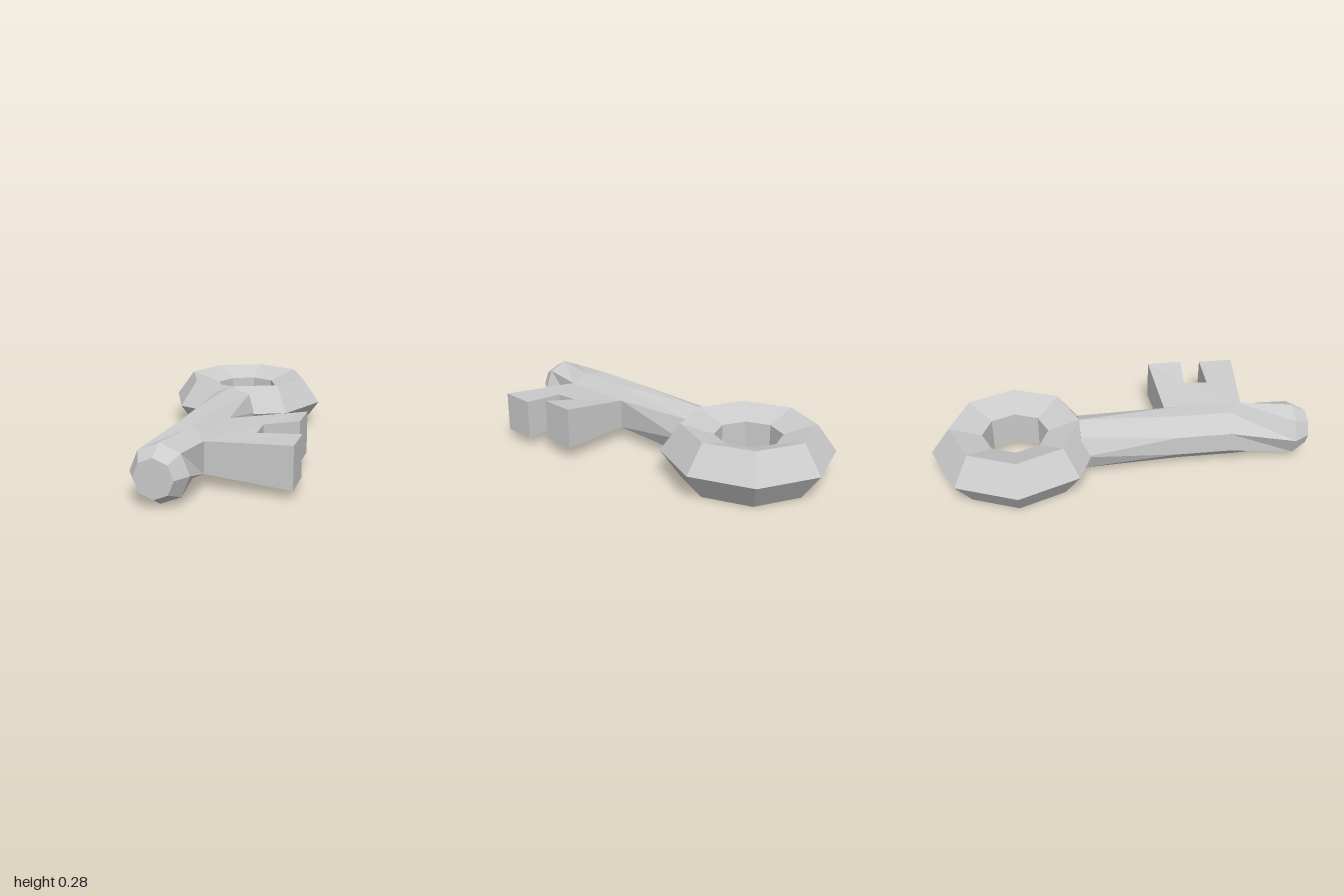
import * as THREE from 'three';

const CX = -0.057, CY = 0.142;

// Flat-shaded mesh from a list of polygon faces (each a loop of [x, y, z])
function facetMesh(name, faces, material) {
  const pos = [];
  for (const f of faces)
    for (let i = 1; i < f.length - 1; i++) pos.push(...f[0], ...f[i], ...f[i + 1]);
  const geo = new THREE.BufferGeometry();
  geo.setAttribute('position', new THREE.Float32BufferAttribute(pos, 3));
  geo.computeVertexNormals();
  const mesh = new THREE.Mesh(geo, material);
  mesh.name = name;
  return mesh;
}

// Regular octagon across the shaft
function octagon(radius, z) {
  return Array.from({ length: 8 }, (_, i) => {
    const a = (i * Math.PI) / 4;
    return [CX + radius * Math.cos(a), CY + radius * Math.sin(a), z];
  });
}

// Shaft: octagonal ends with a slightly twisted, slimmer waist
function shaft(material) {
  // x, y, z at the waist's back, z at the waist's front
  const waist = [
    [0.067, 0.07, 0.25, 0.675], [0.067, 0.228, 0.25, 0.675],
    [0, 0.283, 0.32, 0.63], [-0.09, 0.283, 0.29, 0.57],
    [-0.17, 0.2, 0.285, 0.565], [-0.17, 0.092, 0.285, 0.565],
    [-0.106, 0.025, 0.3, 0.62], [-0.008, 0.025, 0.3, 0.62],
  ];
  const rings = [
    octagon(0.141, -0.225),
    waist.map(([x, y, z]) => [x, y, z]),
    waist.map(([x, y, , z]) => [x, y, z]),
    octagon(0.141, 0.92),
    octagon(0.095, 1),
  ];
  const faces = [[...rings[0]].reverse(), rings[4]];
  for (let k = 0; k < 4; k++)
    for (let i = 0; i < 8; i++) {
      const j = (i + 1) % 8;
      faces.push([rings[k][i], rings[k][j], rings[k + 1][j], rings[k + 1][i]]);
    }
  return facetMesh('shaft', faces, material);
}

// Bit: flaring plate with a notch between two teeth
function bit(material) {
  // x, z, bottom y, top y around the outline
  const outline = [
    [0.065, 0.25, 0.07, 0.228], [0.46, 0.22, 0.07, 0.283],
    [0.46, 0.41, 0.07, 0.283], [0.28, 0.4, 0.06, 0.25],
    [0.28, 0.53, 0.06, 0.245], [0.495, 0.53, 0.045, 0.255],
    [0.495, 0.72, 0.045, 0.255], [0.065, 0.675, 0.07, 0.228],
  ];
  const low = outline.map(([x, z, y]) => [x, y, z]);
  const high = outline.map(([x, z, , y]) => [x, y, z]);
  const faces = [];
  for (let i = 0; i < 8; i++) {
    const j = (i + 1) % 8;
    faces.push([high[i], high[j], low[j], low[i]]);
  }
  for (const q of [[0, 1, 2, 3], [0, 3, 4, 7], [4, 5, 6, 7]]) {
    faces.push(q.map((i) => low[i]));
    faces.push([...q].reverse().map((i) => high[i]));
  }
  return facetMesh('bit', faces, material);
}

export function createModel() {
  const material = new THREE.MeshStandardMaterial({ color: 0xcccccc, flatShading: true });
  const model = new THREE.Group();
  model.name = 'key';

  // Bow: eight-sided ring with a pentagonal section
  const bow = new THREE.Mesh(new THREE.TorusGeometry(0.292, 0.148, 5, 8), material);
  bow.name = 'bow';
  bow.rotation.x = Math.PI / 2;
  bow.position.set(CX, CY, -0.56);

  model.add(bow, shaft(material), bit(material));
  return model;
}
